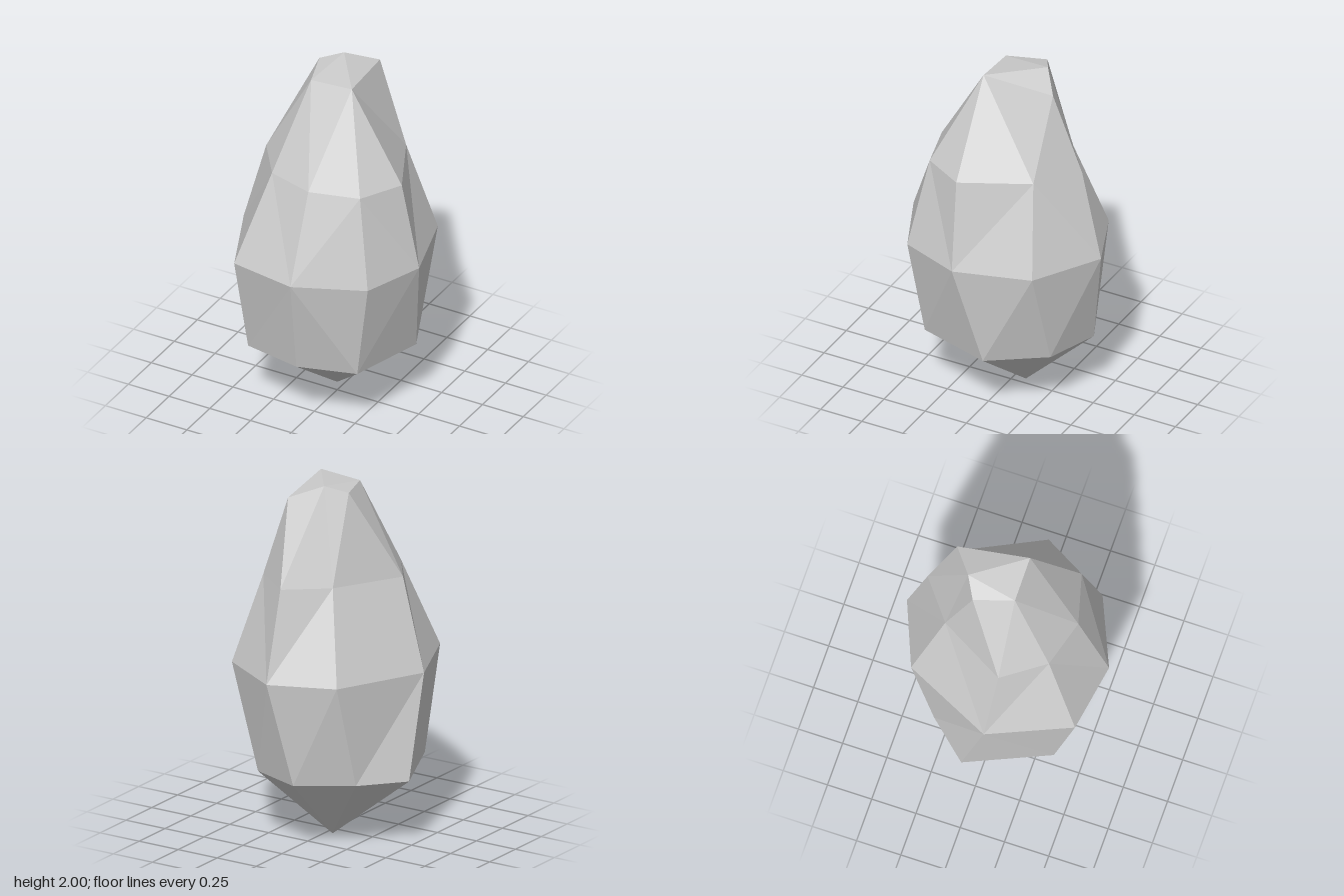
import * as THREE from 'three';

// Ring of points at one height, from the front around by +x to the back
const ring = (y, xz) => xz.map(([x, z]) => [x, y, z]);

// Closed band of triangles between two rings of equal length.
// pattern: which way each quad is split; collapsed triangles are left out.
function band(out, a, b, pattern) {
  const n = a.length;
  const tri = (p, q, r) => {
    if (p !== q && q !== r && r !== p) out.push(...p, ...q, ...r);
  };
  for (let i = 0; i < n; i++) {
    const j = (i + 1) % n;
    if (pattern[i] === '/') {
      tri(a[i], a[j], b[j]);
      tri(a[i], b[j], b[i]);
    } else {
      tri(a[i], a[j], b[i]);
      tri(a[j], b[j], b[i]);
    }
  }
}

export function createModel() {
  const tip = [-0.04, 0, -0.07];
  const low = ring(0.385, [[0, 0.445], [0.32, 0.35], [0.445, -0.07], [0.24, -0.37],
    [-0.055, -0.475], [-0.335, -0.29], [-0.53, -0.07], [-0.33, 0.385]]);
  const wide = ring(0.965, [[0.035, 0.572], [0.415, 0.405], [0.54, 0.067], [0.417, -0.355],
    [0.05, -0.575], [-0.305, -0.43], [-0.54, 0.06], [-0.345, 0.51]]);
  const shoulder = ring(1.47, [[0.045, 0.395], [0.32, 0.32], [0.447, 0.09], [0.265, -0.28],
    [0.04, -0.455], [-0.18, -0.28], [-0.385, 0.09], [-0.22, 0.32]]);
  // Slanted five-cornered top
  const front = [0.14, 1.98, 0.09];
  const back = [0.09, 1.94, -0.305];
  const peak = [-0.065, 2, -0.19];
  const side = [-0.18, 1.965, -0.125];
  const corner = [-0.11, 1.963, 0.09];
  const top = [front, back, peak, side, corner];

  const p = [];
  // Pointed base, straight flanks, tapering shoulders
  band(p, low.map(() => tip), low, '////////');
  band(p, low, wide, '\\/////\\/');
  band(p, wide, shoulder, '/\\/\\/\\/\\');
  // Eight sides merge into five; repeated corners close to triangles
  const s = shoulder;
  band(p, [s[0], s[1], s[2], s[3], s[4], s[5], s[5], s[6], s[7]],
    [front, front, front, back, back, peak, side, corner, corner], '\\\\\\\\/\\\\\\\\');
  band(p, top, top.map(() => peak), '\\\\\\\\\\');

  const geometry = new THREE.BufferGeometry();
  geometry.setAttribute('position', new THREE.Float32BufferAttribute(p, 3));
  geometry.computeVertexNormals();

  const rock = new THREE.Mesh(geometry,
    new THREE.MeshStandardMaterial({ color: 0xcccccc, flatShading: true }));
  rock.name = 'rock';
  const group = new THREE.Group();
  group.name = 'facetedRock';
  group.add(rock);
  return group;
}
